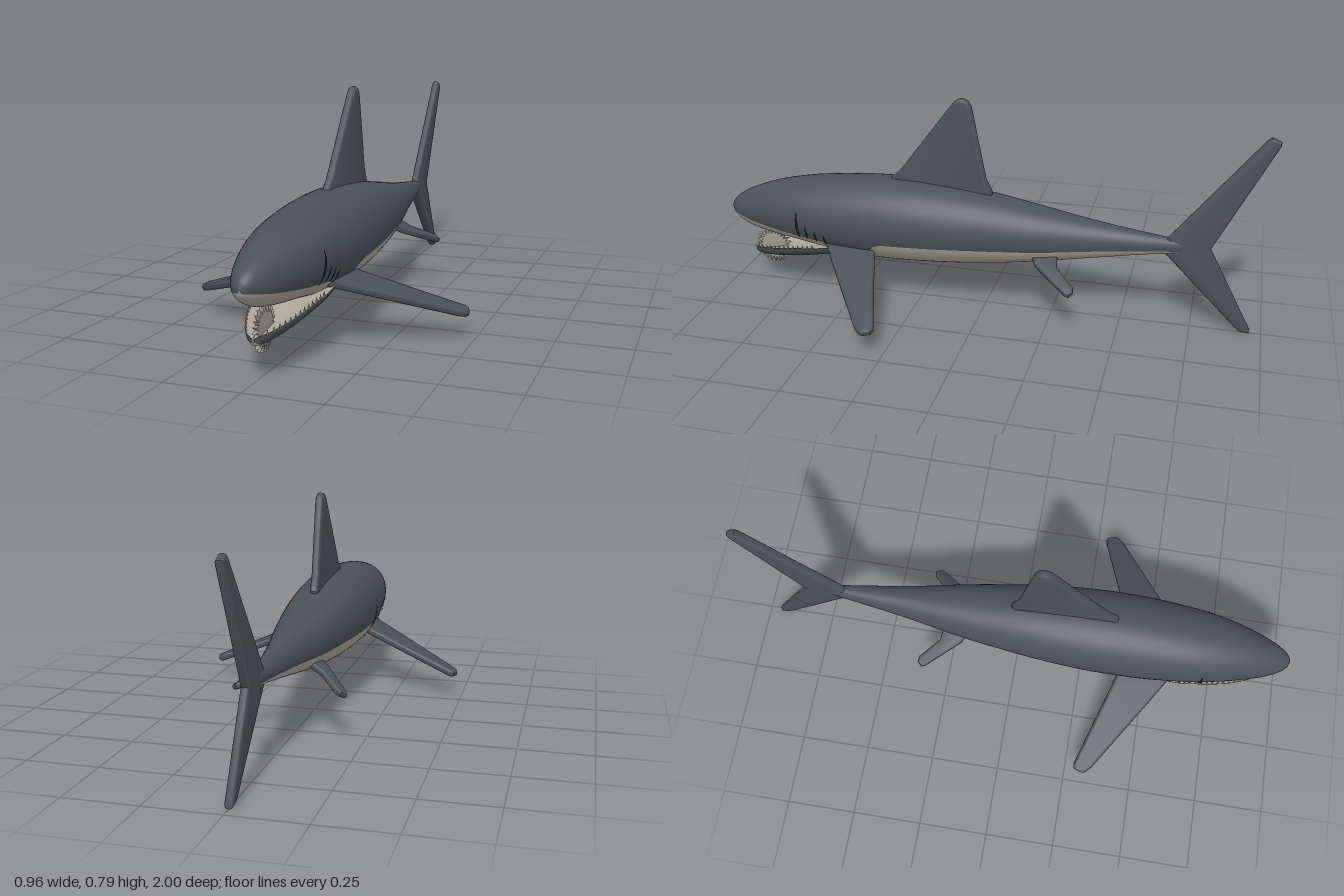
import * as THREE from 'three';
import { toCreasedNormals } from 'three/addons/utils/BufferGeometryUtils.js';

// stations along the body, nose to tail: [z, half width, top y, bottom y]
const BODY = [
  [1, 0, 0.302, 0.302], [0.99, 0.022, 0.325, 0.278], [0.96, 0.046, 0.352, 0.252], [0.9, 0.073, 0.384, 0.226],
  [0.8, 0.104, 0.419, 0.207], [0.7, 0.126, 0.441, 0.194], [0.6, 0.139, 0.456, 0.178], [0.45, 0.149, 0.469, 0.163],
  [0.3, 0.15, 0.472, 0.161], [0.15, 0.142, 0.462, 0.168], [0, 0.126, 0.445, 0.18], [-0.2, 0.098, 0.411, 0.207],
  [-0.4, 0.061, 0.376, 0.241], [-0.6, 0.031, 0.349, 0.275], [-0.68, 0.02, 0.34, 0.285], [-0.76, 0.006, 0.33, 0.295],
];
// height of the belly colour line: [z, y]
const BELLY_LINE = [
  [1, 0.29], [0.9, 0.272], [0.75, 0.252], [0.6, 0.236], [0.56, 0.215], [0.42, 0.215], [0.38, 0.258],
  [0, 0.268], [-0.2, 0.272], [-0.45, 0.288], [-0.76, 0.302],
];
const JAW = [
  [0.918, 0.004, 0.138, 0.124], [0.91, 0.021, 0.146, 0.114], [0.88, 0.043, 0.153, 0.11], [0.8, 0.077, 0.171, 0.117],
  [0.7, 0.102, 0.193, 0.134], [0.62, 0.116, 0.208, 0.152], [0.54, 0.115, 0.22, 0.17], [0.46, 0.1, 0.225, 0.185],
];

// smooth interpolation of a station table at z
function sample(table, z, smooth = true) {
  let i = 0;
  while (i < table.length - 2 && z < table[i + 1][0]) i++;
  const a = table[i], b = table[i + 1], h = b[0] - a[0], t = (z - a[0]) / h;
  const p = table[Math.max(i - 1, 0)], n = table[Math.min(i + 2, table.length - 1)];
  return a.slice(1).map((v, k) => {
    const w = b[k + 1];
    if (!smooth) return v + (w - v) * t;
    const m0 = ((w - p[k + 1]) / (b[0] - p[0])) * h, m1 = ((n[k + 1] - v) / (n[0] - a[0])) * h;
    const t2 = t * t, t3 = t2 * t;
    return (2 * t3 - 3 * t2 + 1) * v + (t3 - 2 * t2 + t) * m0 + (3 * t2 - 2 * t3) * w + (t3 - t2) * m1;
  });
}

function subdivide(table, n) {
  const zs = [];
  for (let i = 0; i < table.length - 1; i++)
    for (let k = 0; k < n; k++) zs.push(table[i][0] + ((table[i + 1][0] - table[i][0]) * k) / n);
  zs.push(table[table.length - 1][0]);
  return zs;
}

// closed rings joined into a skin; slot(column) picks the material group
function loft(zs, cols, point, slot) {
  const pos = [], buckets = [[], []];
  for (const z of zs) for (let j = 0; j < cols; j++) pos.push(...point(z, j), z);
  for (let i = 0; i < zs.length - 1; i++)
    for (let j = 0; j < cols; j++) {
      const a = i * cols + j, b = i * cols + ((j + 1) % cols);
      buckets[slot(j)].push(a, a + cols, b, b, a + cols, b + cols);
    }
  const g = new THREE.BufferGeometry();
  g.setAttribute('position', new THREE.Float32BufferAttribute(pos, 3));
  g.setIndex([...buckets[0], ...buckets[1]]);
  g.addGroup(0, buckets[0].length, 0);
  g.addGroup(buckets[0].length, buckets[1].length, 1);
  g.computeVertexNormals();
  return g;
}

// point on the body skin at angle a
function skin(z, a) {
  const [w, top, bottom] = sample(BODY, z);
  return [w * Math.cos(a), (top + bottom) / 2 + ((top - bottom) / 2) * Math.sin(a)];
}

// flat fin with rounded edges, outlined in two dimensions
function finGeometry(points, thickness) {
  const b = thickness * 0.42;
  const g = new THREE.ExtrudeGeometry(new THREE.Shape(points.map(p => new THREE.Vector2(...p))), {
    depth: thickness - 2 * b, bevelThickness: b, bevelSize: b, bevelOffset: -b, bevelSegments: 4,
  });
  g.translate(0, 0, -(thickness - 2 * b) / 2);
  return toCreasedNormals(g, 0.7);
}

export function createModel() {
  const model = new THREE.Group();
  const mat = (name, color) => {
    const m = new THREE.MeshStandardMaterial({ color });
    m.name = name;
    return m;
  };
  const slate = mat('slate back', 0x4a5158);
  const pale = mat('pale belly', 0xaaa698);
  const black = mat('gill black', 0x1c1e21);
  const bone = mat('tooth bone', 0x9c988c);
  black.side = THREE.DoubleSide;
  const add = (name, geometry, material, parent = model) => {
    const m = new THREE.Mesh(geometry, material);
    m.name = name;
    parent.add(m);
    return m;
  };

  // body: belly columns first, then back columns, meeting at the colour line
  const LOW = 24, HIGH = 32;
  add('body', loft(subdivide(BODY, 5), LOW + HIGH, (z, j) => {
    const [, top, bottom] = sample(BODY, z);
    const s = (sample(BELLY_LINE, z, false)[0] - (top + bottom) / 2) / Math.max((top - bottom) / 2, 0.001);
    const edge = Math.asin(THREE.MathUtils.clamp(s, -0.9, 0.6));
    const a = j < LOW
      ? -Math.PI - edge + ((Math.PI + 2 * edge) * j) / LOW
      : edge + ((Math.PI - 2 * edge) * (j - LOW)) / HIGH;
    return skin(z, a);
  }, j => (j < LOW ? 1 : 0)), [slate, pale]);

  // lower jaw: rounded outside, hollowed pale inside
  const OUT = 24, IN = 8;
  add('lowerJaw', loft(subdivide(JAW, 4), OUT + IN, (z, j) => {
    const [w, top, bottom] = sample(JAW, z);
    if (j <= OUT) {
      const a = -Math.PI + (Math.PI * j) / OUT;
      return [w * Math.cos(a), top + (top - bottom) * Math.sin(a)];
    }
    const x = 1 - (2 * (j - OUT)) / IN;
    return [w * x, top - (top - bottom) * 0.45 * (1 - x * x)];
  }, j => (j >= OUT || (j >= 7 && j < 17) ? 1 : 0)), [slate, pale]);

  // small teeth along the jaw rim
  const teeth = new THREE.Group();
  teeth.name = 'jawTeeth';
  model.add(teeth);
  const tooth = new THREE.ConeGeometry(0.004, 0.014, 5);
  for (const side of [1, -1])
    for (let i = 0; i < 13; i++) {
      const z = 0.64 + i * 0.021, [w, top] = sample(JAW, z);
      add('tooth', tooth, bone, teeth).position.set(side * w * 0.95, top + 0.004, z);
    }

  // spiral tooth wheel at the jaw tip
  const wheel = [];
  for (let i = 0; i < 48; i++) {
    const a = (i / 48) * Math.PI * 2, r = i % 2 ? 0.052 : 0.073;
    wheel.push([Math.cos(a) * r, Math.sin(a) * r]);
  }
  const whorl = add('toothWhorl', finGeometry(wheel, 0.014), bone);
  whorl.rotation.y = -Math.PI / 2;
  whorl.position.set(0, 0.148, 0.842);

  // upright fins, outlined as [z, y]
  const upright = (name, points) => {
    add(name, finGeometry(points, 0.029), slate).rotation.y = -Math.PI / 2;
  };
  upright('dorsalFin', [
    [0.3, 0.4], [-0.01, 0.4], [-0.025, 0.45], [0.0, 0.5], [0.053, 0.765], [0.064, 0.783], [0.083, 0.792],
    [0.102, 0.789], [0.118, 0.775], [0.32, 0.505], [0.37, 0.46],
  ]);
  upright('tailFin', [
    [-0.6, 0.31], [-0.655, 0.275], [-0.905, 0.025], [-0.925, 0.009], [-0.958, 0.005], [-0.958, 0.02],
    [-0.802, 0.315], [-0.998, 0.71], [-0.998, 0.722], [-0.967, 0.737], [-0.952, 0.725], [-0.655, 0.345],
  ]);

  // paired fins, outlined as [distance out, z] from the root
  const paired = (name, points, thickness, x, y, z, droop) => {
    for (const side of [1, -1]) {
      const g = finGeometry(points.map(([u, v]) => [u * side, v]), thickness);
      g.rotateX(Math.PI / 2);
      const fin = add((side > 0 ? 'left' : 'right') + name, g, slate);
      fin.position.set(side * x, y, z);
      fin.rotation.z = -side * droop;
    }
  };
  paired('PectoralFin', [
    [-0.04, 0.12], [0.02, 0.085], [0.345, -0.12], [0.368, -0.142], [0.372, -0.157],
    [0.362, -0.185], [0.345, -0.19], [0.02, -0.09], [-0.04, -0.075],
  ], 0.026, 0.13, 0.212, 0.47, 0.34);
  paired('PelvicFin', [
    [-0.03, 0.06], [0.02, 0.035], [0.13, -0.09], [0.135, -0.105], [0.115, -0.12], [0.095, -0.115],
    [0.02, -0.045], [-0.03, -0.04],
  ], 0.022, 0.08, 0.235, -0.235, 0.52);

  // gill slits: thin strips that follow the skin, [z, low y, high y, width]
  const slits = [[0.685, 0.24, 0.352, 0.012], [0.65, 0.243, 0.3, 0.008], [0.615, 0.235, 0.285, 0.008], [0.58, 0.228, 0.272, 0.008]];
  for (const side of [1, -1])
    for (const [z, low, high, width] of slits) {
      const g = new THREE.PlaneGeometry(1, 1, 2, 10), p = g.attributes.position;
      for (let i = 0; i < p.count; i++) {
        const t = p.getY(i) + 0.5, y = low + (high - low) * t;
        const zz = z + p.getX(i) * width * Math.sin(Math.PI * (0.08 + 0.84 * t));
        const [, top, bottom] = sample(BODY, zz);
        const x = skin(zz, Math.asin((2 * y - top - bottom) / (top - bottom)))[0];
        p.setXYZ(i, side * (x + 0.004), y, zz);
      }
      g.computeVertexNormals();
      add('gillSlit', g, black);
    }

  return model;
}
